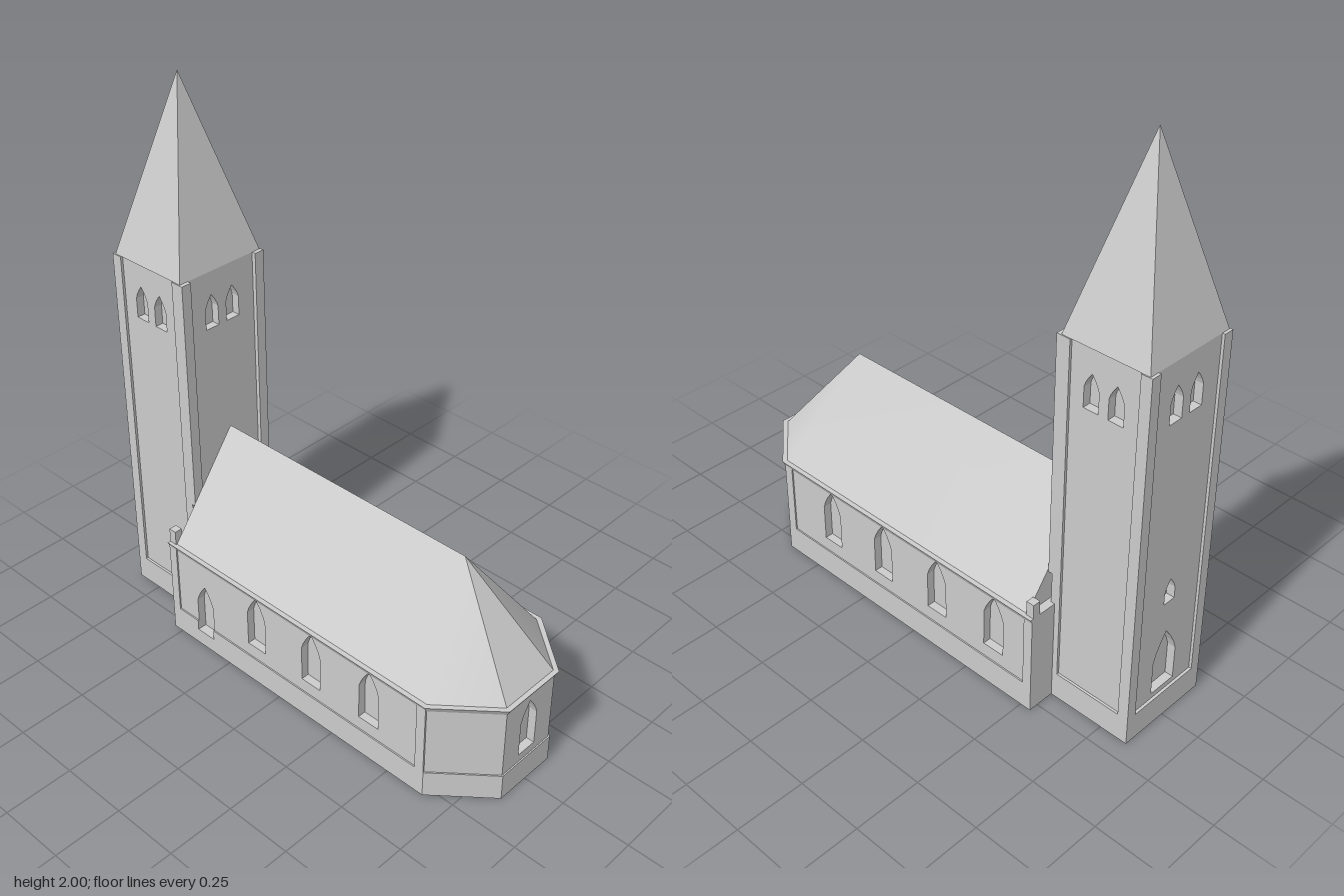
import * as THREE from 'three';
import { toCreasedNormals } from 'three/addons/utils/BufferGeometryUtils.js';

const stone = new THREE.MeshStandardMaterial({ color: 0xcccccc });
stone.name = 'pale stone';

function add(parent, name, geometry) {
  const mesh = new THREE.Mesh(geometry, stone);
  mesh.name = name;
  parent.add(mesh);
  return mesh;
}

function box(parent, name, x0, x1, y0, y1, z0, z1) {
  const mesh = add(parent, name, new THREE.BoxGeometry(x1 - x0, y1 - y0, z1 - z0));
  mesh.position.set((x0 + x1) / 2, (y0 + y1) / 2, (z0 + z1) / 2);
}

function fromTriangles(tris) {
  const g = new THREE.BufferGeometry();
  g.setAttribute('position', new THREE.Float32BufferAttribute(tris.flat(2), 3));
  g.computeVertexNormals();
  return g;
}

// Closed solid between two plan outlines at two heights
function loft(bottom, y0, top, y1) {
  const a = bottom.map(([x, z]) => [x, y0, z]);
  const b = top.map(([x, z]) => [x, y1, z]);
  const tris = [];
  a.forEach((p, i) => {
    const j = (i + 1) % a.length;
    tris.push([p, a[j], b[j]], [p, b[j], b[i]]);
    if (i > 0 && j > 0) tris.push([b[0], b[i], b[j]], [a[0], a[j], p]);
  });
  return fromTriangles(tris);
}

// Pointed opening centred on u
function lancet(Type, [u, y0, y1, w]) {
  const h = w / 2, spring = y1 - w * 0.95;
  const s = new Type();
  s.moveTo(u - h, y0);
  s.lineTo(u + h, y0);
  s.lineTo(u + h, spring);
  s.quadraticCurveTo(u + h * 0.8, spring + (y1 - spring) * 0.45, u, y1);
  s.quadraticCurveTo(u - h * 0.8, spring + (y1 - spring) * 0.45, u - h, spring);
  s.closePath();
  return s;
}

// Upright slab whose outer face runs from p to q, pierced by pointed openings
function panel(parent, name, p, q, y0, y1, openings = [], depth = 0.03) {
  const dx = q[0] - p[0], dz = q[1] - p[1], len = Math.hypot(dx, dz);
  const s = new THREE.Shape([[0, y0], [len, y0], [len, y1], [0, y1]].map(c => new THREE.Vector2(...c)));
  s.holes = openings.map(o => lancet(THREE.Path, o));
  const g = new THREE.ExtrudeGeometry(s, { depth, bevelEnabled: false, curveSegments: 3 });
  g.translate(0, 0, -depth);
  const mesh = add(parent, name, g);
  mesh.rotation.y = Math.atan2(-dz, dx);
  mesh.position.set(p[0], 0, p[1]);
}

// Nave and apse plan, grown outwards by o
function plan(o, west = -0.54) {
  const half = [[west, 0.28 + o], [0.65 + o * 0.35, 0.28 + o], [0.84 + o, 0.12 + o * 0.4]];
  return [...half, ...half.map(([x, z]) => [x, -z]).reverse()];
}

function buildNave() {
  const nave = new THREE.Group();
  nave.name = 'nave';
  add(nave, 'naveCore', loft(plan(-0.03), 0, plan(-0.03), 0.37));

  // Outer walls with window and door openings
  const w = plan(0);
  const windows = [-0.11, 0.15, 0.41];
  const south = windows.map(x => [x + 0.54, 0.15, 0.368, 0.085]);
  south.push([-0.37 + 0.54, 0.06, 0.27, 0.08]);
  const north = [-0.37, ...windows].map(x => [0.65 - x, 0.15, 0.368, 0.085]);
  const openings = [south, [], [[0.12, 0.13, 0.34, 0.08]], [], north];
  openings.forEach((o, i) => panel(nave, 'naveWall', w[i], w[i + 1], 0, 0.37, o));

  // Plinth, broken by the doorway on the front
  const f = plan(0.005), z = f[0][1];
  panel(nave, 'plinth', f[0], [-0.41, z], 0, 0.1, [], 0.006);
  panel(nave, 'plinth', [-0.41, z], [-0.33, z], 0, 0.06, [], 0.006);
  panel(nave, 'plinth', [-0.33, z], f[1], 0, 0.1, [], 0.006);
  for (let i = 1; i < 5; i++) panel(nave, 'plinth', f[i], f[i + 1], 0, 0.1, [], 0.006);

  // Corner strips and the small posts over the west corners
  for (const s of [-1, 1]) {
    const [z0, z1] = s > 0 ? [0.279, 0.285] : [-0.285, -0.279];
    box(nave, 'cornerStrip', 0.615, 0.651, 0.1, 0.37, z0, z1);
    box(nave, 'cornerStrip', -0.54, -0.505, 0.1, 0.37, z0, z1);
    const [a, b] = s > 0 ? [0.25, 0.28] : [-0.28, -0.25];
    box(nave, 'cornerPost', -0.54, -0.51, 0.384, 0.44, a, b);
  }

  // Flared cornice
  add(nave, 'cornice', loft(plan(0.002), 0.364, plan(0.013), 0.386));

  // Roof with a three-sided hip over the apse
  const e = plan(-0.004, -0.51).map(([x, zz]) => [x, 0.385, zz]);
  const A = [-0.51, 0.755, 0], B = [0.55, 0.755, 0];
  const roof = fromTriangles([
    [e[0], e[1], B], [e[0], B, A], [e[1], e[2], B], [e[2], e[3], B],
    [e[3], e[4], B], [e[4], e[5], A], [e[4], A, B], [e[5], e[0], A],
  ]);
  add(nave, 'naveRoof', toCreasedNormals(roof, 0.62));
  return nave;
}

function buildTower() {
  const tower = new THREE.Group();
  tower.name = 'tower';
  const x0 = -0.845, x1 = -0.525, z = 0.172, top = 1.37, mid = (x1 - x0) / 2;
  box(tower, 'towerCore', x0 + 0.03, x1 - 0.03, 0, top, -z + 0.03, z - 0.03);

  // Four walls, each with a pair of belfry openings
  const corners = [[x0, z], [x1, z], [x1, -z], [x0, -z]];
  corners.forEach((p, i) => {
    const c = i % 2 ? z : mid;
    const holes = [-0.046, 0.046].map(d => [c + d, 1.16, 1.285, 0.056]);
    if (i === 3) holes.push([c, 0.12, 0.35, 0.11], [c, 0.47, 0.56, 0.05]);
    panel(tower, 'towerWall', p, corners[(i + 1) % 4], 0, top, holes);
  });

  // Plinth and corner strips
  box(tower, 'towerPlinthFront', -0.855, x1, 0, 0.1, z - 0.01, 0.181);
  box(tower, 'towerPlinthBack', -0.855, x1, 0, 0.1, -0.181, -z + 0.01);
  box(tower, 'towerPlinthWest', -0.855, x0 + 0.01, 0, 0.1, -z + 0.01, z - 0.01);
  for (const s of [-1, 1]) {
    const [a, b] = s > 0 ? [0.143, 0.181] : [-0.181, -0.143];
    box(tower, 'towerCornerStrip', -0.855, -0.815, 0.1, top, a, b);
    box(tower, 'towerCornerStrip', -0.56, -0.525, 0.1, top, a, b);
    box(tower, 'towerCornerStrip', -0.526, -0.51, 0.5, top, a, b);
  }

  // Pyramid spire
  const apex = [-0.685, 2, 0];
  const c = [[x0, 0.177], [x1, 0.177], [x1, -0.177], [x0, -0.177]].map(([x, zz]) => [x, top, zz]);
  const tris = c.map((p, i) => [p, c[(i + 1) % 4], apex]);
  tris.push([c[0], c[2], c[1]], [c[0], c[3], c[2]]);
  add(tower, 'spire', fromTriangles(tris));
  return tower;
}

export function createModel() {
  const church = new THREE.Group();
  church.name = 'church';
  church.add(buildNave(), buildTower());
  return church;
}
